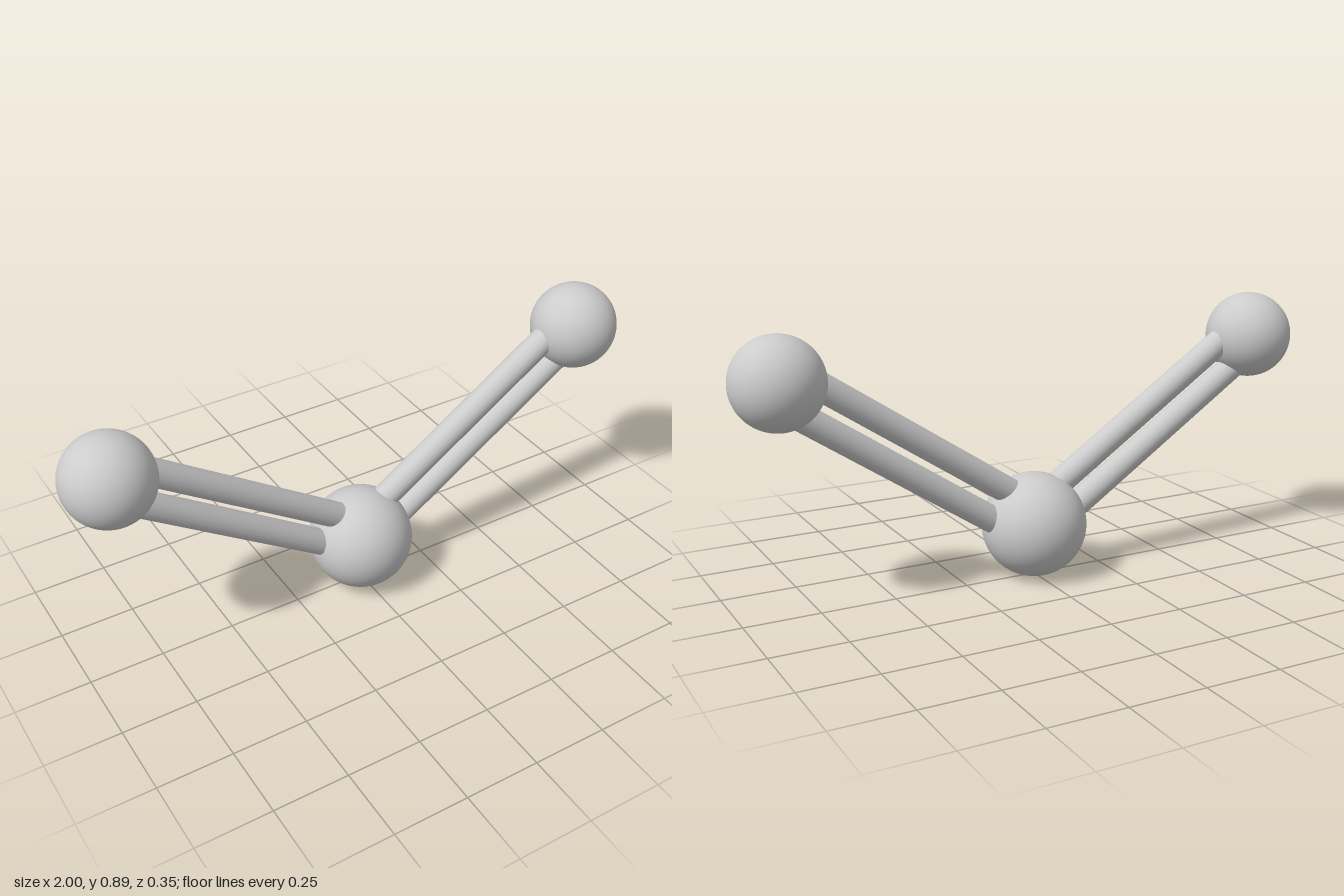
import * as THREE from 'three';

export function createModel() {
  const model = new THREE.Group();
  const material = new THREE.MeshStandardMaterial({ color: 0xcccccc });

  function ball(name, radius, position) {
    const mesh = new THREE.Mesh(new THREE.SphereGeometry(radius, 64, 48), material);
    mesh.name = name;
    mesh.position.copy(position);
    model.add(mesh);
  }

  const centre = new THREE.Vector3(0, 0.175, 0);
  ball('centralAtom', 0.175, centre);

  const rodRadius = 0.044;
  const rodOffset = 0.054; // distance of each rod from the bond axis

  for (const [side, sign] of [['left', 1], ['right', -1]]) {
    const end = new THREE.Vector3(sign * 0.853, 0.742, 0);
    ball(side + 'OuterAtom', 0.147, end);

    // Double bond: two parallel rods running from ball to ball
    const axis = end.clone().sub(centre);
    const bond = new THREE.Group();
    bond.name = side + 'DoubleBond';
    bond.position.copy(centre).add(end).multiplyScalar(0.5);
    bond.quaternion.setFromUnitVectors(new THREE.Vector3(0, 1, 0), axis.clone().normalize());
    for (const [level, shift] of [['upper', -sign], ['lower', sign]]) {
      const rod = new THREE.Mesh(
        new THREE.CylinderGeometry(rodRadius, rodRadius, axis.length(), 32), material);
      rod.name = level + 'Rod';
      rod.position.x = shift * rodOffset;
      bond.add(rod);
    }
    model.add(bond);
  }
  return model;
}
